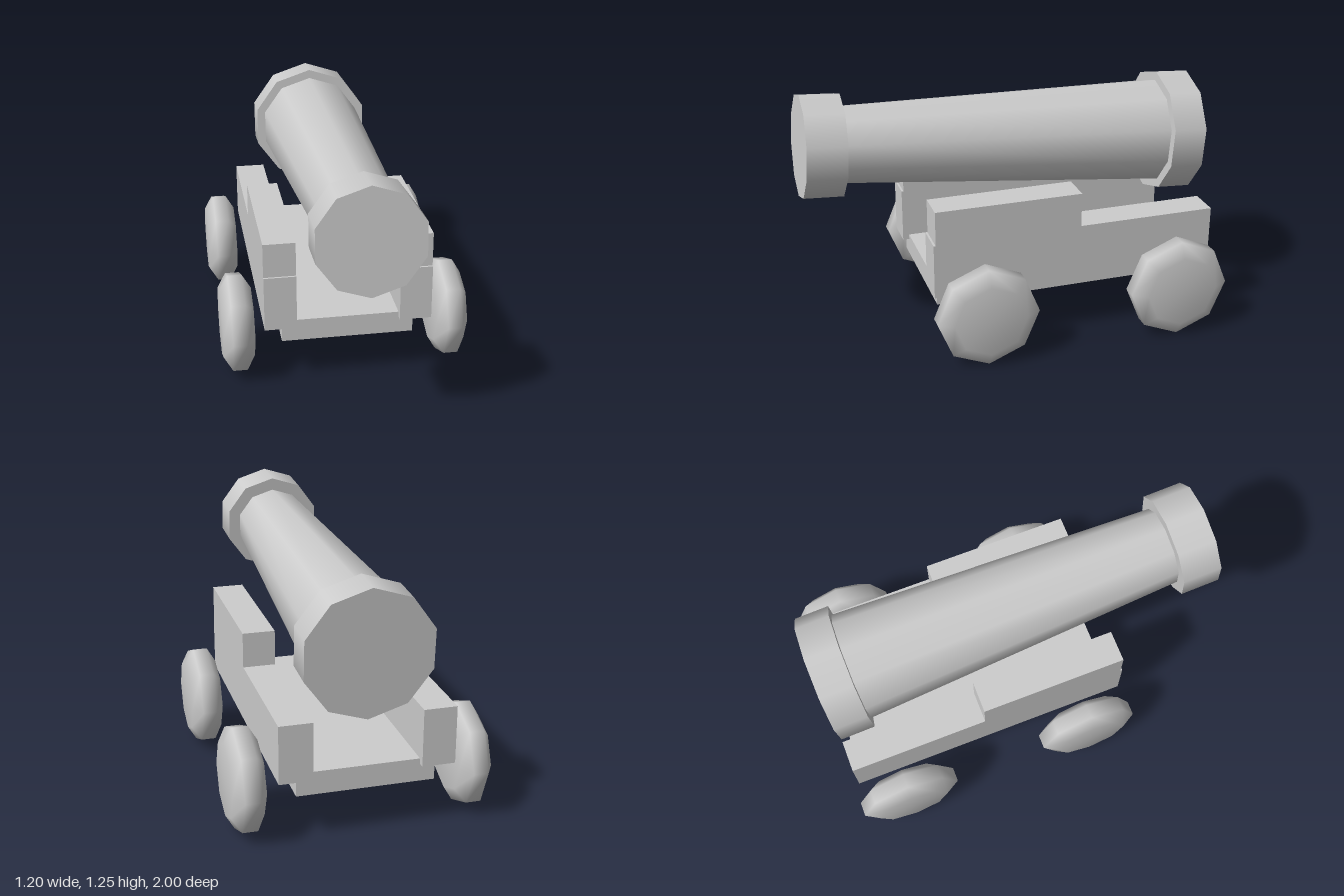
import * as THREE from 'three';

export function createModel() {
  const model = new THREE.Group();
  model.name = 'cannon';
  const grey = new THREE.MeshStandardMaterial({ color: 0xcccccc });
  grey.name = 'plain grey';

  const add = (parent, name, geometry, x = 0, y = 0, z = 0) => {
    const mesh = new THREE.Mesh(geometry, grey);
    mesh.name = name;
    mesh.position.set(x, y, z);
    parent.add(mesh);
    return mesh;
  };

  // Barrel: ten-sided, slightly raised, measured back from the muzzle face
  const barrel = new THREE.Group();
  barrel.name = 'barrel';
  barrel.position.set(0, 0.994, 0.983);
  barrel.rotation.x = -0.0655;
  model.add(barrel);
  const section = (name, rFront, rBack, front, back) => {
    const geometry = new THREE.CylinderGeometry(rFront, rBack, front - back, 10);
    geometry.rotateX(Math.PI / 2);
    return add(barrel, name, geometry, 0, 0, (front + back) / 2);
  };
  section('muzzleRing', 0.252, 0.252, 0, -0.19);
  section('barrelTube', 0.188, 0.262, -0.18, -1.8);
  section('breechRing', 0.306, 0.306, -1.79, -1.957);
  const bore = new THREE.CircleGeometry(0.139, 10);
  add(barrel, 'bore', bore, 0, 0, 0.002);

  // Carriage floor
  add(model, 'floorPlank', new THREE.BoxGeometry(0.64, 0.11, 1.355), 0, 0.281, -0.2625);

  // Stepped side cheeks, drawn as (-z, y) and extruded across x
  const profile = new THREE.Shape([
    [-0.447, 0.31], [0.972, 0.31], [0.972, 0.585], [0.285, 0.585],
    [0.285, 0.755], [-0.437, 0.755], [-0.437, 0.585], [-0.447, 0.585],
  ].map(([a, b]) => new THREE.Vector2(a, b)));
  const cheek = new THREE.ExtrudeGeometry(profile, { depth: 0.155, bevelEnabled: false });
  cheek.rotateY(Math.PI / 2);

  // Bevelled eight-sided wheels with soft normals
  const wheel = new THREE.LatheGeometry([
    [0, -0.077], [0.178, -0.077], [0.25, -0.035],
    [0.25, 0.035], [0.178, 0.077], [0, 0.077],
  ].map(([r, h]) => new THREE.Vector2(r, h)), 8);
  wheel.rotateZ(Math.PI / 2);

  for (const [side, s] of [['left', 1], ['right', -1]]) {
    add(model, side + 'Cheek', cheek, s > 0 ? 0.25 : -0.405, 0, 0);
    add(model, side + 'FrontWheel', wheel, s * 0.523, 0.25, 0.224);
    add(model, side + 'RearWheel', wheel, s * 0.523, 0.25, -0.75);
  }
  return model;
}
